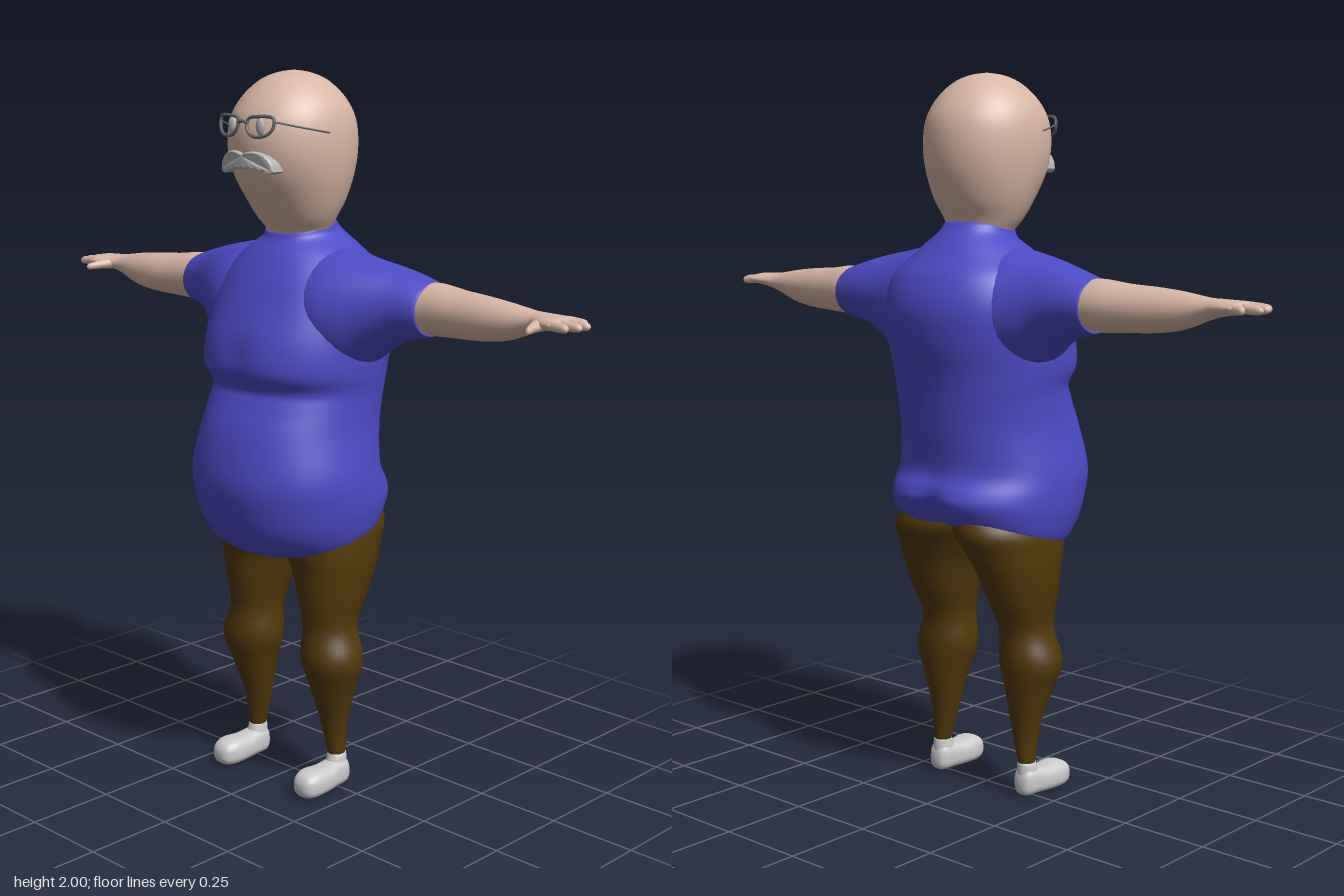
import * as THREE from 'three';

const mat = (color) => new THREE.MeshStandardMaterial({ color, roughness: 0.8 });

// Axis order per loft direction: [along, a, b], chosen so faces point outward
const AXES = { y: [1, 0, 2], x: [0, 2, 1], z: [2, 1, 0] };

const spline = (p0, p1, p2, p3, t) =>
  0.5 * (2 * p1 + (p2 - p0) * t + (2 * p0 - 5 * p1 + 4 * p2 - p3) * t * t
    + (3 * p1 - p0 - 3 * p2 + p3) * t * t * t);

// Smooth skin over cross-sections [along, aMin, aMax, bMin, bMax, tilt];
// power < 1 squares the rings, deform(v) may push points afterwards
function loft(axis, sections, { sides = 32, steps = 5, power = 1, deform } = {}) {
  const [T, A, B] = AXES[axis];
  const n = sections.length, pos = [], index = [];
  const at = (i, k) => sections[Math.max(0, Math.min(n - 1, i))][k] ?? 0;
  const rows = (n - 1) * steps;
  const round = (c) => Math.sign(c) * Math.abs(c) ** power;
  for (let r = 0; r <= rows; r++) {
    const i = Math.min(n - 2, Math.floor(r / steps)), f = r / steps - i;
    const [t, a0, a1, b0, b1, tilt] = [0, 1, 2, 3, 4, 5].map((k) =>
      spline(at(i - 1, k), at(i, k), at(i + 1, k), at(i + 2, k), f));
    for (let s = 0; s < sides; s++) {
      const q = (s / sides) * Math.PI * 2, p = [0, 0, 0];
      p[A] = (a0 + a1) / 2 + ((a1 - a0) / 2) * round(Math.cos(q));
      p[B] = (b0 + b1) / 2 + ((b1 - b0) / 2) * round(Math.sin(q));
      p[T] = t + tilt * p[B];
      const v = new THREE.Vector3(...p);
      if (deform) deform(v);
      pos.push(v.x, v.y, v.z);
      if (r < rows) {
        const k = r * sides + s, m = r * sides + (s + 1) % sides;
        index.push(k, k + sides, m, m, k + sides, m + sides);
      }
    }
  }
  const g = new THREE.BufferGeometry();
  g.setAttribute('position', new THREE.Float32BufferAttribute(pos, 3));
  g.setIndex(index);
  g.computeVertexNormals();
  return g;
}

// Copy across x = 0 with the corner order turned back outward
function mirrored(geometry) {
  const g = geometry.clone().scale(-1, 1, 1), ix = g.index;
  for (let i = 0; i < ix.count; i += 3) {
    const b = ix.getX(i + 1);
    ix.setX(i + 1, ix.getX(i + 2));
    ix.setX(i + 2, b);
  }
  return g;
}

function tube(points, radius, closed = false) {
  const curve = new THREE.CatmullRomCurve3(points.map((p) => new THREE.Vector3(...p)), closed);
  return new THREE.TubeGeometry(curve, 40, radius, 8, closed);
}

export function createModel() {
  const group = new THREE.Group();
  const skin = mat(0xd9b6a5), shirt = mat(0x4d4bc6), trousers = mat(0x523808);
  const grey = mat(0xcccccc), frame = mat(0x62686c), hair = mat(0xb4b4b4);
  const add = (name, geometry, material) => {
    const mesh = new THREE.Mesh(geometry, material);
    mesh.name = name;
    group.add(mesh);
  };
  const pair = (name, geometry, material) => {
    add(name + 'Left', geometry, material);
    add(name + 'Right', mirrored(geometry), material);
  };

  // Head and neck
  add('head', loft('y', [
    [1.52, -0.08, 0.08, -0.10, 0.05],
    [1.57, -0.09, 0.09, -0.105, 0.06],
    [1.61, -0.115, 0.115, -0.115, 0.09],
    [1.66, -0.138, 0.138, -0.145, 0.125],
    [1.73, -0.158, 0.158, -0.172, 0.168],
    [1.80, -0.167, 0.167, -0.182, 0.186],
    [1.87, -0.161, 0.161, -0.175, 0.18],
    [1.925, -0.137, 0.137, -0.145, 0.148],
    [1.97, -0.093, 0.093, -0.098, 0.098],
    [1.992, -0.047, 0.047, -0.05, 0.05],
    [2.0, 0, 0, 0, 0],
  ], { sides: 48 }), skin);

  // Shirt body: belly, chest fold, collar and sloping hem
  add('shirtBody', loft('y', [
    [0.77, 0, 0, -0.02, -0.02, -0.25],
    [0.745, -0.2, 0.2, -0.18, 0.13, -0.25],
    [0.738, -0.235, 0.235, -0.215, 0.17, -0.25],
    [0.80, -0.256, 0.256, -0.252, 0.235, -0.2],
    [0.86, -0.264, 0.264, -0.245, 0.265, -0.1],
    [0.93, -0.263, 0.263, -0.215, 0.276, -0.03],
    [1.04, -0.243, 0.243, -0.225, 0.252],
    [1.12, -0.24, 0.24, -0.235, 0.215],
    [1.16, -0.243, 0.243, -0.24, 0.2],
    [1.21, -0.252, 0.252, -0.25, 0.232],
    [1.29, -0.255, 0.255, -0.27, 0.224],
    [1.38, -0.25, 0.25, -0.277, 0.185],
    [1.46, -0.225, 0.225, -0.25, 0.145],
    [1.52, -0.165, 0.165, -0.195, 0.105],
    [1.56, -0.105, 0.105, -0.145, 0.075, -0.1],
    [1.582, -0.093, 0.093, -0.118, 0.065, -0.18],
    [1.57, -0.08, 0.08, -0.1, 0.05, -0.18],
  ], {
    sides: 64, power: 0.92,
    deform(v) {
      const bump = (x, w, y, h) => Math.exp(-(((v.x - x) / w) ** 2) - ((v.y - y) / h) ** 2);
      // Cleft at the seat and a soft hollow between the breasts
      if (v.z < -0.1) v.z += 0.035 * bump(0, 0.045, 0.83, 0.07);
      if (v.z > 0.1) v.z -= 0.012 * bump(0, 0.05, 1.25, 0.07);
    },
  }), shirt);

  // Sleeves, turned in at the cuff
  pair('sleeve', loft('x', [
    [0.08, -0.2, 0.12, 1.22, 1.535],
    [0.17, -0.205, 0.13, 1.21, 1.53],
    [0.235, -0.19, 0.11, 1.225, 1.518],
    [0.29, -0.176, 0.078, 1.265, 1.507],
    [0.36, -0.167, 0.04, 1.303, 1.49],
    [0.435, -0.157, 0.015, 1.321, 1.467],
    [0.44, -0.15, 0.006, 1.328, 1.46],
    [0.43, -0.135, -0.005, 1.34, 1.45],
  ]), shirt);

  // Bare arms running into flat palms
  pair('arm', loft('x', [
    [0.40, -0.145, 0.003, 1.33, 1.462],
    [0.46, -0.143, 0, 1.328, 1.466],
    [0.54, -0.132, -0.001, 1.332, 1.457],
    [0.62, -0.118, 0, 1.336, 1.452],
    [0.70, -0.104, -0.006, 1.348, 1.444],
    [0.775, -0.092, -0.018, 1.375, 1.433],
    [0.81, -0.096, -0.008, 1.386, 1.431],
    [0.85, -0.104, 0.008, 1.393, 1.429],
    [0.875, -0.1, 0.008, 1.398, 1.426],
    [0.885, -0.04, -0.04, 1.41, 1.41],
  ]), skin);

  // Fingers: [root z, tip z, tip x]
  [[-0.087, -0.097, 0.905], [-0.06, -0.064, 0.938], [-0.03, -0.032, 0.936], [-0.004, 0.002, 0.92]]
    .forEach(([z0, z1, x1], i) => {
      const ring = (f, r) => {
        const x = 0.855 + (x1 - 0.855) * f, z = z0 + (z1 - z0) * f, y = 1.412 - 0.004 * f;
        return [x, z - r, z + r, y - r, y + r];
      };
      pair('finger' + (i + 1), loft('x',
        [ring(0, 0.013), ring(0.5, 0.0125), ring(0.88, 0.01), ring(1, 0)], { sides: 12 }), skin);
    });
  pair('thumb', loft('z', [
    [-0.03, 1.388, 1.422, 0.79, 0.84],
    [0.0, 1.39, 1.418, 0.803, 0.838],
    [0.03, 1.39, 1.412, 0.817, 0.839],
    [0.046, 1.391, 1.407, 0.826, 0.84],
    [0.052, 1.398, 1.398, 0.834, 0.834],
  ], { sides: 12 }), skin);

  // Trouser legs with thigh, knee and calf
  pair('trouserLeg', loft('y', [
    [0.095, 0.145, 0.175, -0.03, 0.005],
    [0.097, 0.138, 0.182, -0.038, 0.014],
    [0.2, 0.112, 0.194, -0.047, 0.032],
    [0.3, 0.092, 0.221, -0.066, 0.066],
    [0.39, 0.068, 0.247, -0.08, 0.095],
    [0.48, 0.073, 0.218, -0.08, 0.084],
    [0.57, 0.055, 0.231, -0.122, 0.1],
    [0.65, 0.035, 0.241, -0.157, 0.113],
    [0.71, 0.008, 0.242, -0.185, 0.135],
    [0.77, -0.02, 0.235, -0.215, 0.155],
    [0.84, -0.02, 0.2, -0.19, 0.15],
  ]), trousers);

  // Shoes with flat soles, and ankle collars
  pair('shoe', loft('z', [
    [-0.045, 0.04, 0.04, 0.162, 0.162],
    [-0.041, 0.015, 0.068, 0.142, 0.182],
    [-0.025, 0.005, 0.085, 0.13, 0.194],
    [0.01, 0.004, 0.082, 0.127, 0.198],
    [0.05, 0.003, 0.076, 0.122, 0.205],
    [0.1, 0.002, 0.079, 0.12, 0.208],
    [0.13, 0.006, 0.07, 0.13, 0.2],
    [0.143, 0.02, 0.054, 0.145, 0.185],
    [0.146, 0.036, 0.036, 0.165, 0.165],
  ], { power: 0.75, deform(v) { v.y = Math.max(0, v.y); } }), grey);
  pair('ankleCollar', loft('y', [
    [0.05, 0.132, 0.19, -0.042, 0.03],
    [0.09, 0.135, 0.187, -0.041, 0.018],
    [0.1, 0.14, 0.18, -0.037, 0.012],
    [0.1, 0.16, 0.16, -0.012, -0.012],
  ]), grey);

  // Spectacles: rims, bridge and side pieces
  pair('spectacleRim', tube([
    [0.018, 1.877, 0.186], [0.058, 1.885, 0.183], [0.098, 1.88, 0.172],
    [0.097, 1.853, 0.176], [0.078, 1.836, 0.185], [0.04, 1.834, 0.192], [0.02, 1.85, 0.192],
  ], 0.0045, true), frame);
  add('spectacleBridge', tube([[-0.02, 1.866, 0.188], [0, 1.872, 0.191], [0.02, 1.866, 0.188]], 0.0045), frame);
  pair('spectacleSide', tube([[0.1, 1.872, 0.172], [0.135, 1.86, 0.125], [0.167, 1.842, 0.035]], 0.0025), frame);

  // Eyes
  pair('eye', new THREE.SphereGeometry(1, 20, 14).scale(0.014, 0.024, 0.009)
    .translate(0.052, 1.859, 0.176), hair);

  // Moustache: drooping outline with a scalloped lower edge, bent round the face
  const m = new THREE.Shape();
  m.moveTo(0, 1.782);
  m.bezierCurveTo(0.03, 1.8, 0.09, 1.79, 0.094, 1.745);
  for (let i = 1; i <= 8; i++) {
    const x = 0.094 - i * 0.0235, y = 1.762 - 2 * x * x;
    m.quadraticCurveTo(x + 0.012, y - 0.018, x, y);
  }
  m.bezierCurveTo(-0.09, 1.79, -0.03, 1.8, 0, 1.782);
  const moustache = new THREE.ExtrudeGeometry(m, {
    depth: 0.03, bevelEnabled: true, bevelThickness: 0.008, bevelSize: 0.004, bevelSegments: 3, curveSegments: 8,
  });
  const p = moustache.attributes.position;
  for (let i = 0; i < p.count; i++) p.setZ(i, p.getZ(i) + 0.159 - 2.2 * p.getX(i) ** 2);
  moustache.computeVertexNormals();
  add('moustache', moustache, hair);

  return group;
}
